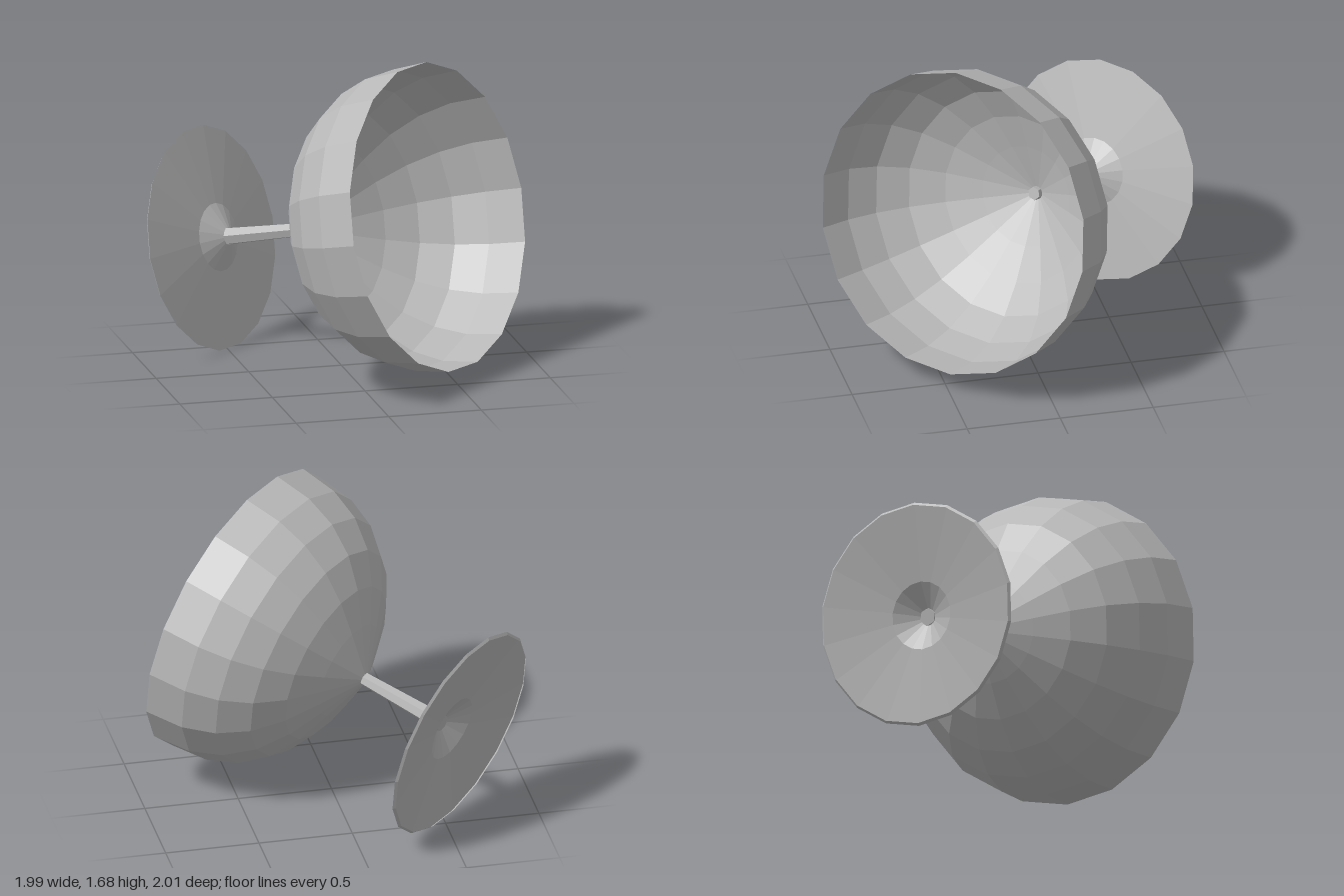
import * as THREE from 'three';

export function createModel() {
  const goblet = new THREE.Group();
  goblet.name = 'goblet';
  const grey = new THREE.MeshStandardMaterial({ color: 0xb8b8b8, flatShading: true, side: THREE.DoubleSide });
  grey.name = 'grey';

  // Thin sheet turned around the goblet's axis; points are [radius, height]
  const turned = (name, points) => {
    const profile = points.map(([r, h]) => new THREE.Vector2(r, h));
    const mesh = new THREE.Mesh(new THREE.LatheGeometry(profile, 18), grey);
    mesh.name = name;
    mesh.rotation.y = -0.16;
    goblet.add(mesh);
  };

  // Foot: shallow disc with a hollow cone rising to the stem
  turned('foot', [[0.58, -0.012], [0.593, 0], [0.18, 0.045], [0.045, 0.11]]);

  // Bowl: open, thin-walled cup
  turned('bowl', [
    [0.035, 0.61], [0.27, 0.712], [0.45, 0.797], [0.607, 0.907],
    [0.722, 1.05], [0.79, 1.22], [0.813, 1.433],
  ]);

  // Stem: slender closed rod, thicker at the foot
  const stem = new THREE.Mesh(new THREE.CylinderGeometry(0.036, 0.048, 0.53, 6), grey);
  stem.name = 'stem';
  stem.position.y = 0.37;
  goblet.add(stem);

  // Lay the goblet over so the bowl opens to the front left
  const axis = new THREE.Vector3(0.672, 0.228, 0.705).normalize();
  goblet.quaternion.setFromUnitVectors(new THREE.Vector3(0, 1, 0), axis);
  goblet.position.set(-0.555, 0.577, -0.575);

  const root = new THREE.Group();
  root.name = 'tiltedGoblet';
  root.add(goblet);
  return root;
}
